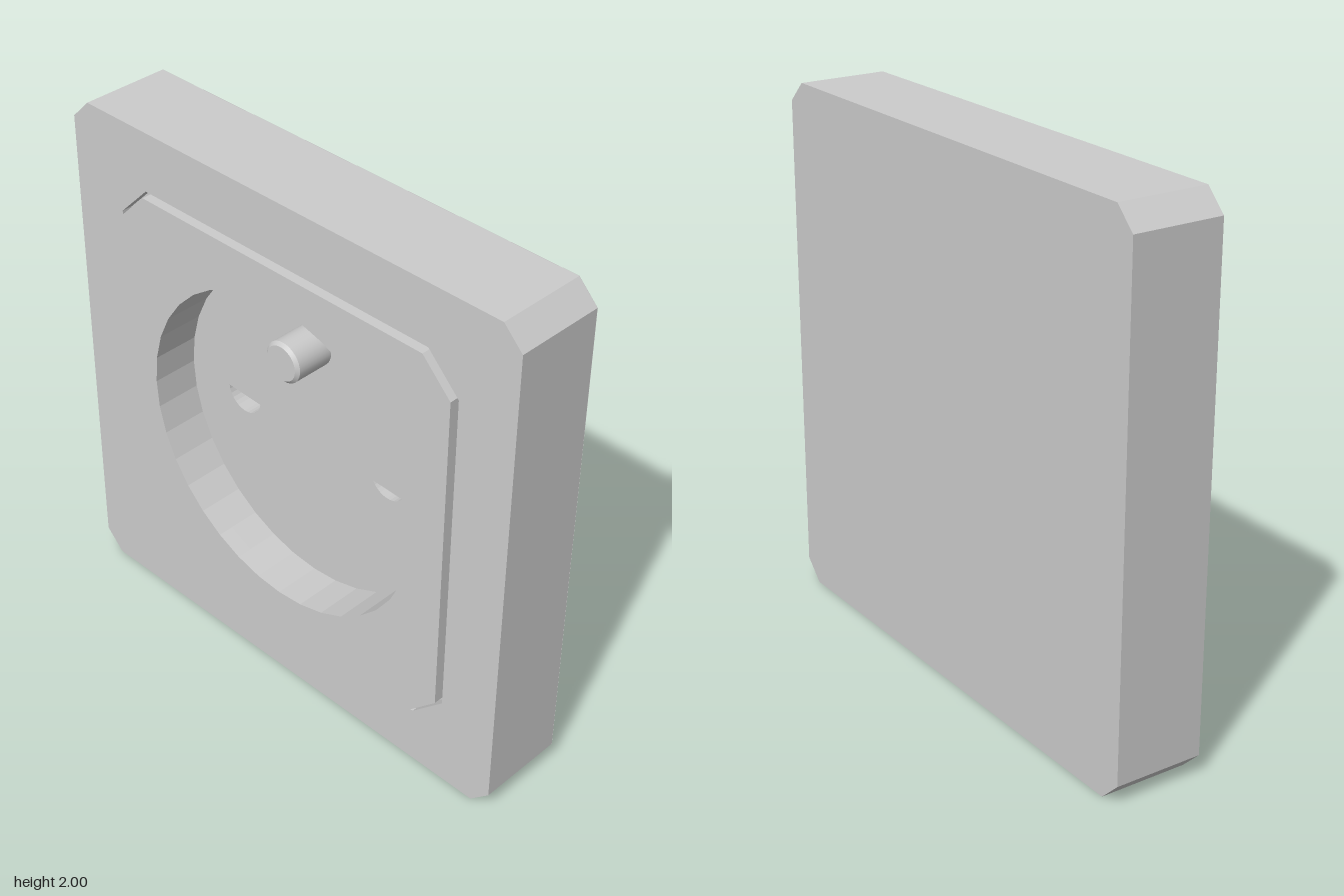
import * as THREE from 'three';

const CY = 1; // height of the centre of the plate

// Square with cut corners, half width h, flat edges reaching to e
function octagon(h, e) {
  const pts = [[h, -e], [h, e], [e, h], [-e, h], [-h, e], [-h, -e], [-e, -h], [e, -h]];
  return pts.map(([x, y]) => new THREE.Vector2(x, y + CY));
}

// Points along an arc; the end point is included
function arc(x, y, r, a0, a1, n) {
  return Array.from({ length: n + 1 }, (_, i) => {
    const a = a0 + (a1 - a0) * i / n;
    return new THREE.Vector2(x + r * Math.cos(a), y + r * Math.sin(a));
  });
}

export function createModel() {
  const group = new THREE.Group();
  const flat = new THREE.MeshStandardMaterial({ color: 0xcccccc, flatShading: true });
  const smooth = new THREE.MeshStandardMaterial({ color: 0xcccccc });
  const thin = new THREE.MeshStandardMaterial({ color: 0xcccccc, side: THREE.DoubleSide });

  const add = (name, geometry, material = flat) => {
    const mesh = new THREE.Mesh(geometry, material);
    mesh.name = name;
    group.add(mesh);
    return mesh;
  };
  // Plate between two depths, pierced by the given outlines
  const plate = (name, outline, z0, z1, holes = []) => {
    const shape = new THREE.Shape(outline);
    holes.forEach((h) => shape.holes.push(new THREE.Path(h)));
    const geo = new THREE.ExtrudeGeometry(shape, { depth: z1 - z0, bevelEnabled: false });
    geo.translate(0, 0, z0);
    return add(name, geo);
  };

  const outer = octagon(1, 0.923);
  const opening = octagon(0.772, 0.642);
  const recess = arc(0, 1.005, 0.62, 0, Math.PI * 2, 36).slice(0, -1);

  // Outer frame and its back
  plate('frame', outer, -0.179, 0.16, [opening]);
  add('backCover', new THREE.ShapeGeometry(new THREE.Shape(outer)), thin).position.z = -0.18;

  // Recess floor with the two contact openings
  const contacts = [
    arc(-0.35, 1, 0.08, Math.PI + 0.06, Math.PI * 2 - 0.15, 14),
    arc(0.35, 1, 0.08, Math.PI + 0.52, Math.PI * 2 - 0.6, 10),
  ];
  plate('recessFloor', opening, -0.179, 0, contacts);

  // Recess wall, then the raised insert leaving a narrow groove around it
  plate('recessWall', opening, 0, 0.12, [recess]);
  plate('insert', octagon(0.757, 0.637), 0.12, 0.18, [recess]);

  // Earth pin with a chamfered tip
  const pinSide = new THREE.CylinderGeometry(0.078, 0.078, 0.145, 32, 1, true);
  const pinChamfer = new THREE.CylinderGeometry(0.066, 0.078, 0.012, 32, 1, true);
  const pinTip = new THREE.CircleGeometry(0.066, 32);
  [[pinSide, 0.0725], [pinChamfer, 0.151]].forEach(([g, z]) => {
    g.rotateX(Math.PI / 2);
    g.translate(0, 1.385, z);
  });
  pinTip.translate(0, 1.385, 0.157);
  add('earthPin', pinSide, smooth);
  add('earthPinChamfer', pinChamfer, smooth);
  add('earthPinTip', pinTip, smooth);

  return group;
}
